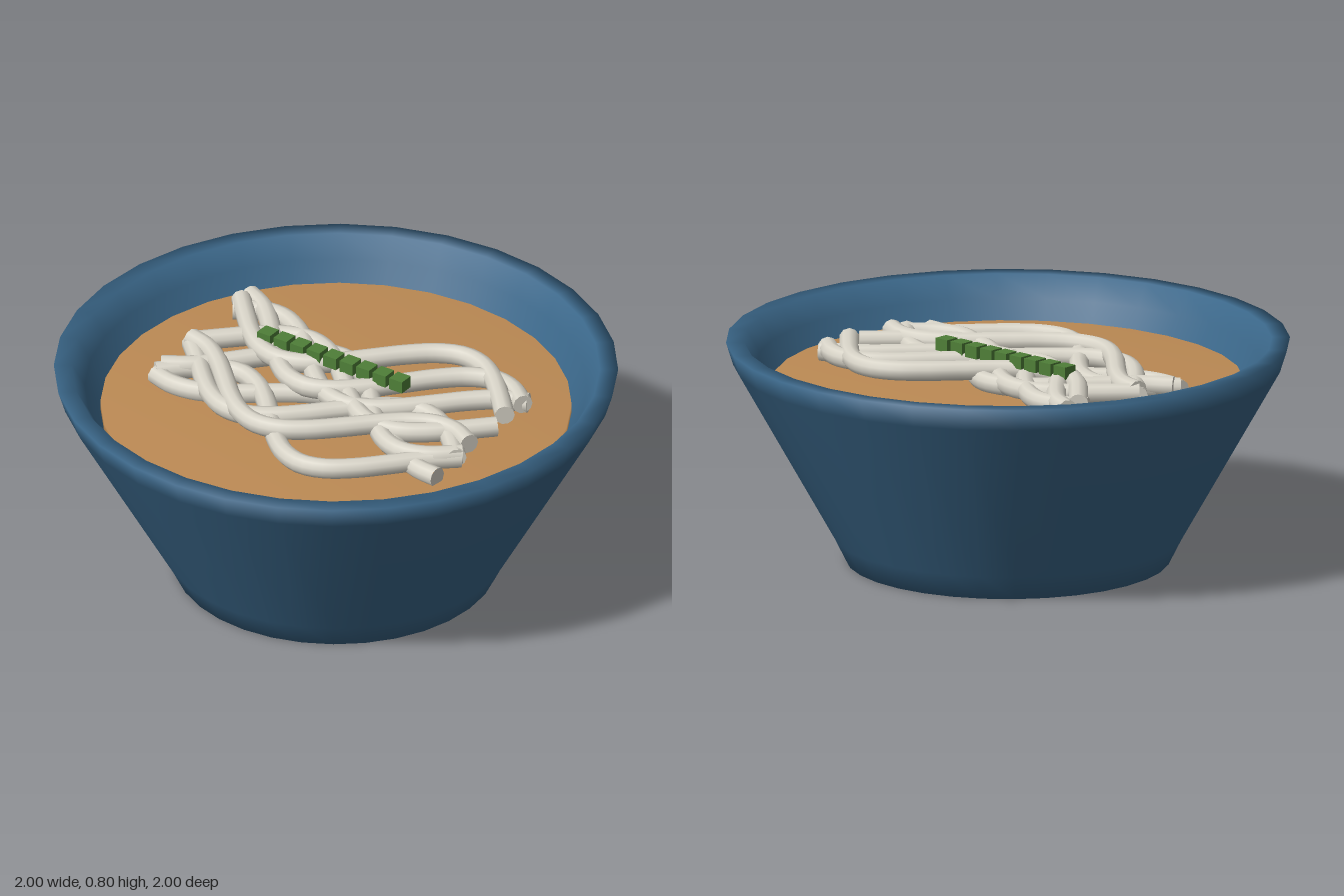
import * as THREE from 'three';

const mat = (color) => new THREE.MeshStandardMaterial({ color });
const RADIUS = 0.036;
const HALF_LENGTH = 0.615;

function lathe(name, profile, material) {
  const points = profile.map(([r, y]) => new THREE.Vector2(r, y));
  const mesh = new THREE.Mesh(new THREE.LatheGeometry(points, 32), material);
  mesh.name = name;
  return mesh;
}

// A cosine-wave strand along x at one height, with capped ends
function noodle([centre, swing, peakX, y], material) {
  const group = new THREE.Group();
  group.name = 'noodle';
  const points = Array.from({ length: 15 }, (_, i) => {
    const x = HALF_LENGTH * (i / 7 - 1);
    return new THREE.Vector3(x, y, centre + swing * Math.cos(5.7 * (x - peakX)));
  });
  const curve = new THREE.CatmullRomCurve3(points);
  const strand = new THREE.Mesh(new THREE.TubeGeometry(curve, 48, RADIUS, 10), material);
  strand.name = 'noodleStrand';
  group.add(strand);
  for (const t of [0, 1]) {
    const cap = new THREE.Mesh(new THREE.CircleGeometry(RADIUS, 10), material);
    const outward = curve.getTangentAt(t).multiplyScalar(t ? 1 : -1);
    cap.name = 'noodleEnd';
    cap.position.copy(curve.getPointAt(t));
    cap.quaternion.setFromUnitVectors(new THREE.Vector3(0, 0, 1), outward);
    group.add(cap);
  }
  return group;
}

export function createModel() {
  const model = new THREE.Group();
  model.name = 'noodleBowl';

  // Bowl: outer wall, rim and inner wall in one smooth profile
  model.add(lathe('bowl', [
    [0, 0], [0.575, 0], [0.62, 0.09], [0.975, 0.72], [1, 0.8],
    [0.935, 0.8], [0.89, 0.72], [0.54, 0.12], [0, 0.1],
  ], mat(0x3a6688)));

  // Broth: thin disc with softened edge normals
  model.add(lathe('broth', [[0, 0.6], [0.835, 0.6], [0.835, 0.655], [0, 0.655]], mat(0xbc8a54)));

  // Noodles: middle z, swing, x of the foremost crest, height
  const waves = [
    [0.27, 0.2, 0.18, 0.69],
    [0.19, 0.18, -0.07, 0.72],
    [-0.225, 0.195, -0.27, 0.73],
    [-0.15, 0.21, -0.1, 0.72],
    [-0.05, 0.18, 0.28, 0.71],
    [0, 0.21, 0.43, 0.7],
    [-0.12, 0.19, 0.08, 0.71],
    [0.13, 0.19, -0.22, 0.7],
    [0.13, 0.13, 0.6, 0.68],
  ];
  const noodleMat = mat(0xd8d4c8);
  const noodles = new THREE.Group();
  noodles.name = 'noodles';
  for (const wave of waves) noodles.add(noodle(wave, noodleMat));
  model.add(noodles);

  // Row of chopped greens on top
  const greens = new THREE.Group();
  greens.name = 'greens';
  const greenMat = mat(0x4f7f38);
  const cube = new THREE.BoxGeometry(0.055, 0.045, 0.055);
  for (let i = 0; i < 9; i++) {
    const piece = new THREE.Mesh(cube, greenMat);
    piece.name = 'greenPiece';
    piece.position.set(-0.355 + i * 0.071, 0.765, -0.09);
    greens.add(piece);
  }
  model.add(greens);

  return model;
}
